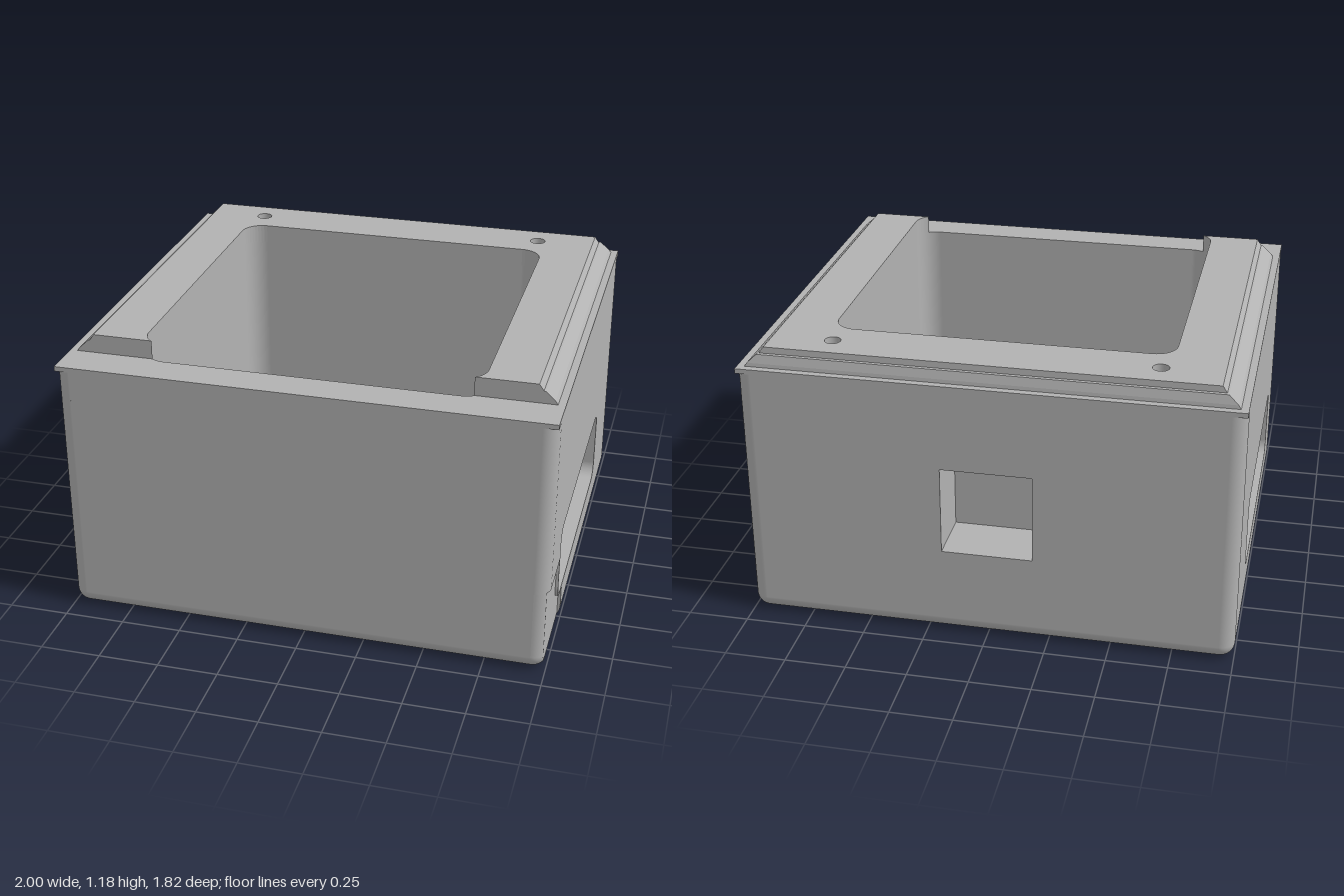
import * as THREE from 'three';

export function createModel() {
  const group = new THREE.Group();
  const grey = new THREE.MeshStandardMaterial({ color: 0xb2b2b2, side: THREE.DoubleSide });
  grey.name = 'plain grey';

  const W = 1, D = 0.91, R = 0.06;                 // half width, half depth, edge radius
  const FLANGE = 1.08, TOP = 1.1, FLOOR = 0.163;   // heights
  const CX = 0.69, CB = -0.615, CF = 0.76, CR = 0.09; // cavity half width, back, front, corner radius
  const DENT = 0.988;                              // face of the shallow recess on the left side

  const add = (name, geo, x = 0, y = 0, z = 0) => {
    const m = new THREE.Mesh(geo, grey);
    m.name = name;
    m.position.set(x, y, z);
    group.add(m);
    return m;
  };
  const rect = (x0, y0, x1, y1, r = 0, Type = THREE.Shape) => {
    const s = new Type();
    if (!r) {
      s.moveTo(x0, y0); s.lineTo(x1, y0); s.lineTo(x1, y1); s.lineTo(x0, y1);
    } else {
      s.absarc(x1 - r, y0 + r, r, -Math.PI / 2, 0);
      s.absarc(x1 - r, y1 - r, r, 0, Math.PI / 2);
      s.absarc(x0 + r, y1 - r, r, Math.PI / 2, Math.PI);
      s.absarc(x0 + r, y0 + r, r, Math.PI, Math.PI * 1.5);
    }
    s.closePath();
    return s;
  };
  const extrude = (shape, depth) =>
    new THREE.ExtrudeGeometry(shape, { depth, bevelEnabled: false, curveSegments: 14 });
  const box = (name, x0, y0, z0, x1, y1, z1) =>
    add(name, new THREE.BoxGeometry(x1 - x0, y1 - y0, z1 - z0), (x0 + x1) / 2, (y0 + y1) / 2, (z0 + z1) / 2);

  // Side walls with a long rounded window (shape coordinates are -z, y)
  const windowHole = () => rect(-0.62, 0.165, 0.465, 0.48, R, THREE.Path);
  const wallShape = rect(-D + R, R, D - R, FLANGE);
  wallShape.holes.push(windowHole());
  add('rightWall', extrude(wallShape, W - CX).rotateY(Math.PI / 2), -W);
  add('leftWall', extrude(wallShape, DENT - CX).rotateY(Math.PI / 2), CX);

  // Outer skin of the left wall, cut away around the recess
  const skin = new THREE.Shape();
  skin.moveTo(D - R, R);
  skin.lineTo(D - R, FLANGE);
  skin.lineTo(-D + R, FLANGE);
  skin.lineTo(-D + R, 0.355);
  skin.lineTo(-0.626, 0.355);
  skin.lineTo(-0.626, 0.22);
  skin.quadraticCurveTo(-0.626, 0.156, -0.56, 0.156);
  skin.lineTo(-0.515, 0.156);
  skin.lineTo(-0.515, R);
  skin.closePath();
  skin.holes.push(windowHole());
  add('leftWallSkin', extrude(skin, W - DENT).rotateY(Math.PI / 2), DENT);

  // Front wall, and back wall with a blind square pocket
  box('frontWall', -W + R, R, CF, W - R, FLANGE, D);
  const back = rect(-W + R, R, W - R, FLANGE);
  back.holes.push(rect(-0.185, 0.37, 0.185, 0.74, 0, THREE.Path));
  add('backWall', extrude(back, 0.24), 0, 0, -D);
  box('pocketBack', -W + R, R, -D + 0.24, W - R, FLANGE, CB);

  // Floor frame and top flange (shape coordinates are x, -z)
  const floor = rect(-W + R, -D + R, W - R, D - R);
  floor.holes.push(rect(-0.645, -0.73, 0.645, 0.59, 0, THREE.Path));
  add('floorFrame', extrude(floor, FLOOR).rotateX(-Math.PI / 2));
  const flange = rect(-W, -D, W, D);
  flange.holes.push(rect(-CX, -CF, CX, -CB, CR, THREE.Path));
  add('topFlange', extrude(flange, TOP - FLANGE).rotateX(-Math.PI / 2), 0, FLANGE);

  // Fillets in the cavity corners
  const fillet = new THREE.Shape();
  fillet.moveTo(0, 0);
  fillet.lineTo(-CR, 0);
  fillet.absarc(-CR, -CR, CR, Math.PI / 2, 0, true);
  fillet.closePath();
  const filletGeo = extrude(fillet, FLANGE - FLOOR).rotateX(-Math.PI / 2);
  [[CX, CB, 0], [-CX, CB, 1], [-CX, CF, 2], [CX, CF, 3]].forEach(([x, z, turn]) => {
    add('cavityFillet', filletGeo, x, FLOOR, z).rotation.y = turn * Math.PI / 2;
  });

  // Rounded outer edges; dented ones are trimmed flush with the recess
  const trim = (geo, cx) => {
    const p = geo.attributes.position;
    for (let i = 0; i < p.count; i++) p.setX(i, Math.min(p.getX(i), DENT - cx));
    geo.computeVertexNormals();
    return geo;
  };
  const edge = (axis, from, to, a, b, dented = false) => {
    const g = new THREE.CylinderGeometry(R, R, to - from, 48);
    const mid = (from + to) / 2;
    if (axis === 'x') g.rotateZ(Math.PI / 2);
    if (axis === 'z') g.rotateX(Math.PI / 2);
    if (dented) trim(g, a);
    const pos = { x: [mid, a, b], y: [a, mid, b], z: [a, b, mid] }[axis];
    add('roundedEdge', g, ...pos);
  };
  const ex = W - R, ez = D - R;
  for (const sx of [-1, 1]) {
    for (const sz of [-1, 1]) {
      const dented = sx > 0 && sz > 0;
      edge('y', dented ? 0.355 : R, FLANGE, sx * ex, sz * ez);
      const ball = new THREE.SphereGeometry(R, 48, 24);
      add('roundedCorner', dented ? trim(ball, ex) : ball, sx * ex, R, sz * ez);
    }
    edge('x', -ex, ex, R, sx * ez);
  }
  edge('y', R, 0.355, ex, ez, true);
  edge('z', -ez, ez, -ex, R);
  edge('z', -ez, 0.515, ex, R);
  edge('z', 0.515, ez, ex, R, true);

  // U-shaped stepped rail on top: inner outline follows the cavity
  const END = 0.745, N = 10, half = [];
  const ix = CX - CR, t0 = Math.asin((END - CF + CR) / CR);
  for (let i = 0; i <= N; i++) {
    const t = t0 * (1 - i / N);
    half.push([-ix - CR * Math.cos(t), CF - CR + CR * Math.sin(t)]);
  }
  for (let i = 0; i <= N; i++) {
    const t = (i / N) * Math.PI / 2;
    half.push([-ix - CR * Math.cos(t), CB + CR - CR * Math.sin(t)]);
  }
  const inner = [...half, ...half.map(([x, z]) => [-x, z]).reverse()];
  const outline = (o, b) => [[o, END], [o, -b], [-o, -b], [-o, END], ...inner];
  const levels = [[1.1, 0.97, 0.88], [1.115, 0.96, 0.878], [1.15, 0.922, 0.868], [1.152, 0.914, 0.857], [1.178, 0.896, 0.855]];
  const verts = [];
  for (let k = 0; k + 1 < levels.length; k++) {
    const [y0, ...s0] = levels[k], [y1, ...s1] = levels[k + 1];
    const lo = outline(...s0).map(([x, z]) => [x, y0, z]);
    const hi = outline(...s1).map(([x, z]) => [x, y1, z]);
    lo.forEach((a, i) => {
      const j = (i + 1) % lo.length;
      verts.push(...a, ...lo[j], ...hi[j], ...a, ...hi[j], ...hi[i]);
    });
  }
  const railGeo = new THREE.BufferGeometry();
  railGeo.setAttribute('position', new THREE.Float32BufferAttribute(verts, 3));
  railGeo.computeVertexNormals();
  add('railSides', railGeo);

  // Rail top with two round pin holes
  const [railY, ...railSize] = levels[levels.length - 1];
  const railTop = new THREE.Shape(outline(...railSize).map(([x, z]) => new THREE.Vector2(x, -z)));
  for (const x of [-0.65, 0.65]) {
    railTop.holes.push(new THREE.Path().absarc(x, 0.738, 0.033, 0, Math.PI * 2, true));
    add('pinHole', new THREE.CylinderGeometry(0.033, 0.033, railY - TOP, 24, 1, true), x, (railY + TOP) / 2, -0.738);
  }
  add('railTop', new THREE.ShapeGeometry(railTop, 12).rotateX(-Math.PI / 2), 0, railY);

  return group;
}
